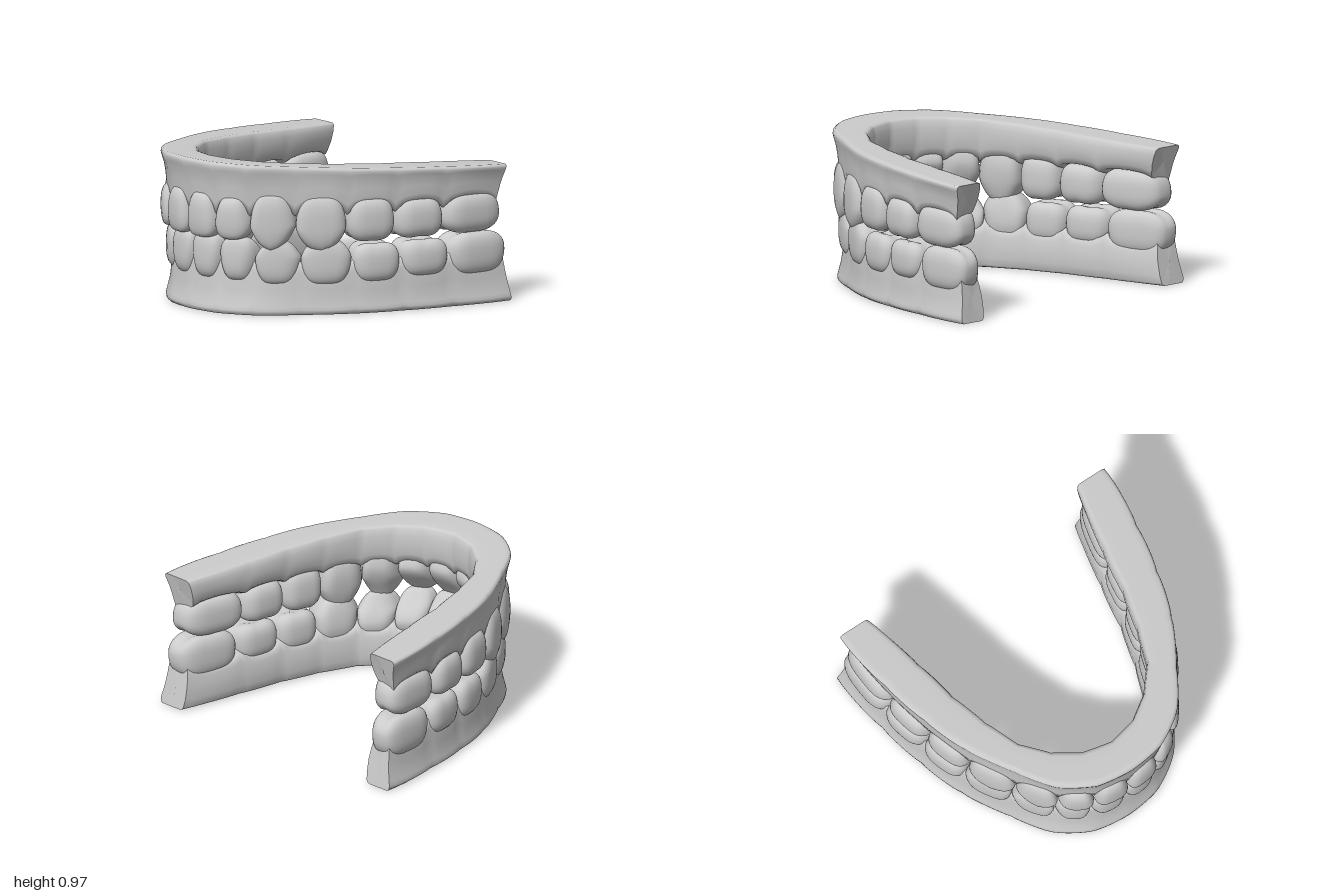
import * as THREE from 'three';

const grey = new THREE.MeshStandardMaterial({ color: 0xcccccc });
const { lerp, clamp, smoothstep } = THREE.MathUtils;

// Arch outlines for one half, [x, z] at each boundary between teeth
const OUTER = [[0, 0.89], [0.235, 0.855], [0.43, 0.735], [0.61, 0.5], [0.78, 0.2], [0.88, -0.11], [0.948, -0.44], [0.982, -0.86]];
const INNER = [[0, 0.66], [0.19, 0.615], [0.35, 0.505], [0.48, 0.35], [0.56, 0.12], [0.628, -0.14], [0.68, -0.44], [0.775, -0.86]];

function archCurve(half) {
  const right = half.slice(1).reverse().map(([x, z]) => [-x, z]);
  return new THREE.CatmullRomCurve3([...right, ...half].map(([x, z]) => new THREE.Vector3(x, 0, z)));
}
const outerCurve = archCurve(OUTER), innerCurve = archCurve(INNER);

// t runs along the arch (-7..7, one unit per tooth), s from outside (0) to inside (1)
function archPoint(t, s) {
  const u = clamp((t + 7) / 14, 0, 1);
  return outerCurve.getPoint(u).lerp(innerCurve.getPoint(u), s);
}

// Same, but straighter from one tooth boundary to the next
function facetedPoint(t, s) {
  const t0 = Math.min(Math.floor(t), 6);
  const chord = archPoint(t0, s).lerp(archPoint(t0 + 1, s), t - t0);
  return archPoint(t, s).lerp(chord, 0.6);
}

// Skin of rings: rows of points, each row a closed loop
function skin(rows, flip) {
  const n = rows[0].length, pos = [], index = [];
  rows.forEach(row => row.forEach(p => pos.push(p.x, p.y, p.z)));
  for (let j = 0; j < rows.length - 1; j++) {
    for (let i = 0; i < n; i++) {
      const a = j * n + i, b = j * n + (i + 1) % n, c = b + n, d = a + n;
      if (flip) index.push(a, c, b, a, d, c);
      else index.push(a, b, c, a, c, d);
    }
  }
  const geo = new THREE.BufferGeometry();
  geo.setAttribute('position', new THREE.Float32BufferAttribute(pos, 3));
  geo.setIndex(index);
  geo.computeVertexNormals();
  return geo;
}

// Teeth from the middle backwards: root height, tip height, tip thickness,
// pointedness, neck width, boxiness exponent
const UPPER = {
  name: 'upper', up: 1, dz: 0, depth: 1,
  teeth: [
    [0.775, 0.478, 0.55, 0.0, 0.84, 0.48], [0.76, 0.48, 0.55, 0.015, 0.82, 0.48], [0.79, 0.415, 0.65, 0.1, 0.84, 0.5],
    [0.77, 0.4, 0.9, 0.08, 0.9, 0.46], [0.74, 0.452, 1, 0.015, 0.92, 0.42], [0.715, 0.458, 1, 0.0, 0.92, 0.42],
    [0.715, 0.452, 1, 0.02, 0.92, 0.44]],
  papilla: 0.635, zenith: 0.7, lingual: 0.72, baseY: z => 0.975 - 0.055 * (0.9 - z),
};
const LOWER = {
  name: 'lower', up: -1, dz: -0.04, depth: 0.93,
  teeth: [
    [0.21, 0.495, 0.55, 0.0, 0.8, 0.48], [0.21, 0.495, 0.55, 0.015, 0.8, 0.48], [0.19, 0.485, 0.65, 0.07, 0.82, 0.5],
    [0.185, 0.495, 0.9, 0.06, 0.88, 0.46], [0.195, 0.45, 1, 0.01, 0.92, 0.42], [0.21, 0.45, 1, 0.0, 0.92, 0.42],
    [0.185, 0.47, 1, 0.02, 0.92, 0.46]],
  papilla: 0.345, zenith: 0.275, lingual: 0.25, baseY: () => 0.005,
};

const KINDS = ['CentralIncisor', 'LateralIncisor', 'Canine', 'Premolar', 'FirstMolar', 'SecondMolar', 'ThirdMolar'];
const spow = (v, e) => Math.sign(v) * Math.pow(Math.abs(v), e);

// Tooth: a rounded box bent along the arch, tapered at neck and biting edge
function tooth(jaw, i, side) {
  const [rootY, tipY, thin, point, neck, boxy] = jaw.teeth[i];
  const tMid = side * (i + 0.5), rows = [], N = 32, M = 20;
  for (let j = 0; j <= M; j++) {
    const phi = (j / M - 0.5) * Math.PI;
    const r = Math.pow(Math.max(Math.cos(phi), 0), boxy);
    const h = (spow(Math.sin(phi), 0.8) + 1) / 2;
    const row = [];
    for (let k = 0; k < N; k++) {
      const th = k / N * Math.PI * 2;
      const a = spow(Math.sin(th), 0.6) * r, b = spow(Math.cos(th), 0.64) * r;
      // the neck narrows on the outer side only
      const neckWidth = lerp(neck, 0.97, (1 - b) / 2);
      const width = 0.505 * lerp(neckWidth, 1, smoothstep(h, 0, 0.6));
      const depth = 1.08 * lerp(1, thin, smoothstep(h, 0.3, 1));
      const s = (-0.095 + depth * (1 - b) / 2) * jaw.depth;
      const p = archPoint(tMid + a * width, s);
      // pointed or grooved biting edge
      let y = lerp(rootY, tipY, h);
      const tip = smoothstep(h, 0.45, 1);
      y += jaw.up * tip * point * Math.pow(Math.abs(a), 1.4);
      if (i > 3) y += jaw.up * tip * 0.016 * (Math.exp(-a * a * 20) * 0.4 + Math.exp(-b * b * 10));
      row.push(new THREE.Vector3(p.x, y, p.z + jaw.dz));
    }
    rows.push(row);
  }
  const mesh = new THREE.Mesh(skin(rows, jaw.up > 0), grey);
  mesh.name = jaw.name + (side > 0 ? 'Left' : 'Right') + KINDS[i];
  return mesh;
}

// Gum section: [s, k], k = 0 at the margin and 1 at the flat base
const GUM = [[0.14, 0], [0.1, 0.2], [0.06, 0.45], [0.01, 0.65], [-0.06, 0.82], [-0.09, 0.9], [-0.08, 0.96], [-0.02, 1],
  [0.1, 1], [0.5, 1], [0.78, 1], [0.86, 0.98], [0.91, 0.93], [0.95, 0.75], [0.95, 0.45], [0.9, 0.2], [0.84, 0], [0.5, 0]];

// Gum: section swept along the arch, swollen over roots and creased between
function gum(jaw) {
  const STEPS = 8, stations = [[-7, 0], [-7, 1]];
  for (let j = -7 * STEPS; j <= 7 * STEPS; j++) stations.push([j / STEPS, 1]);
  stations.push([7, 1], [7, 0]);
  const rows = stations.map(([t, size]) => {
    const at = Math.abs(t), back = smoothstep(at, 6, 7);
    const swell = Math.sqrt(Math.abs(Math.sin(Math.PI * t)));
    // beside the molars the base is set in slightly from the tooth faces
    const setIn = 0.09 * smoothstep(at, 2, 3.5) * (1 - smoothstep(at, 5.8, 6.9));
    return GUM.map(([s0, k0]) => {
      const k = lerp(0.5, k0, size);
      let s = lerp(0.45, s0, size);
      const bulge = 0.07 * swell * (1 - k * (at > 2 ? 0.5 : 0.85)) * size;
      if (s0 < 0.3) s += setIn * smoothstep(k, 0.2, 1) * size - bulge;
      else if (s0 > 0.7) s += bulge * 0.6;
      const p = facetedPoint(t, s * lerp(jaw.depth, 1, 0.3));
      const outerMargin = lerp(jaw.papilla, jaw.zenith, swell);
      const innerMargin = lerp(jaw.papilla, jaw.lingual, 0.6 + 0.4 * swell);
      const margin = lerp(outerMargin, innerMargin, smoothstep(s0, 0.3, 0.7));
      const z = p.z + jaw.dz + back * (0.055 * (1 - k) - 0.015);
      return new THREE.Vector3(p.x, lerp(margin, jaw.baseY(p.z), k), z);
    });
  });
  const mesh = new THREE.Mesh(skin(rows, jaw.up > 0), grey);
  mesh.name = jaw.name + 'Gum';
  return mesh;
}

export function createModel() {
  const model = new THREE.Group();
  model.name = 'dentalArches';
  for (const jaw of [UPPER, LOWER]) {
    const group = new THREE.Group();
    group.name = jaw.name + 'Jaw';
    group.add(gum(jaw));
    for (const side of [1, -1]) {
      for (let i = 0; i < 7; i++) group.add(tooth(jaw, i, side));
    }
    model.add(group);
  }
  return model;
}
